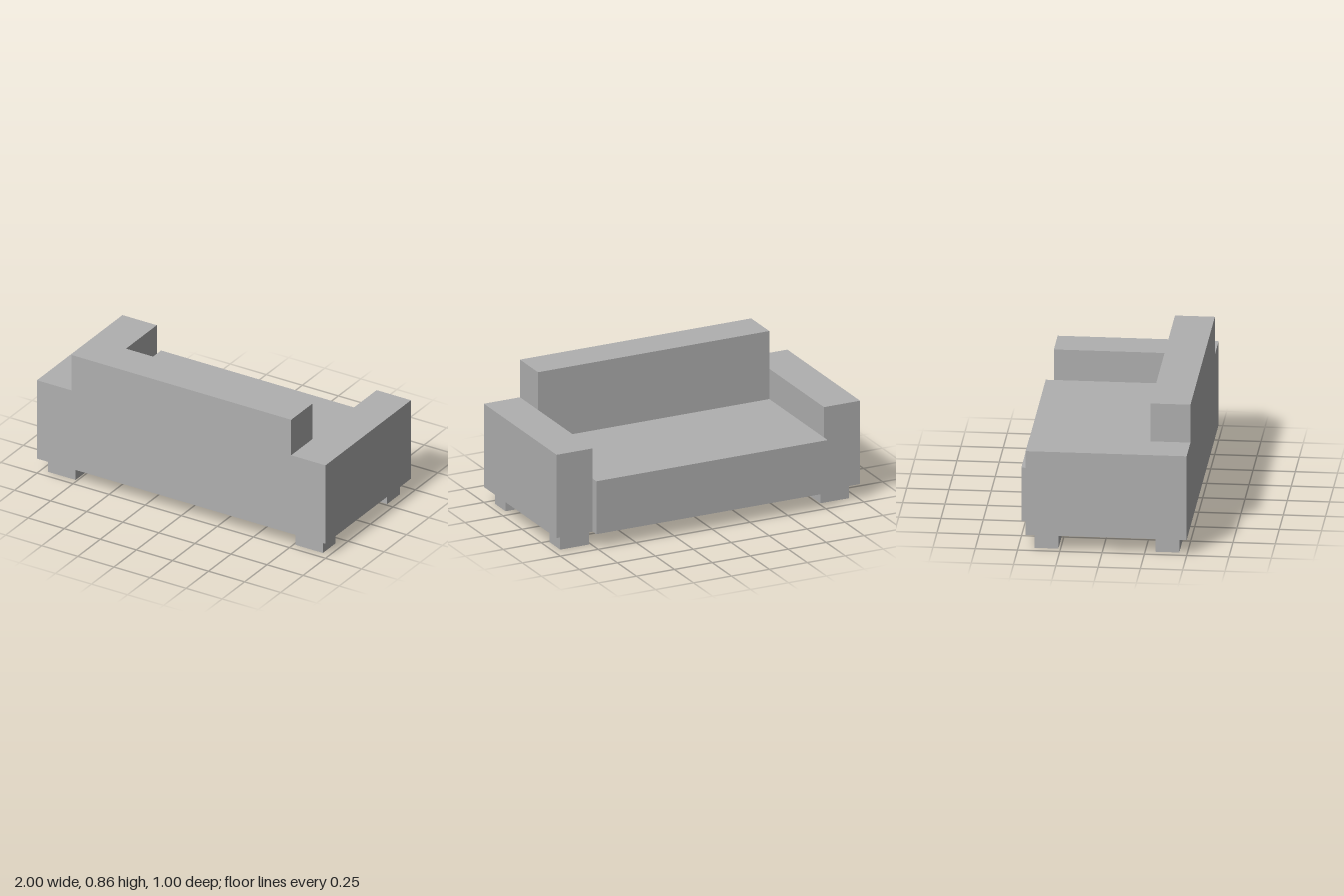
import * as THREE from 'three';

export function createModel() {
  const sofa = new THREE.Group();
  sofa.name = 'sofa';
  const grey = new THREE.MeshStandardMaterial({ color: 0xb0b0b0 });
  grey.name = 'plain grey';

  // Box given by its extents along each axis
  function block(name, [x0, x1], [y0, y1], [z0, z1]) {
    const mesh = new THREE.Mesh(new THREE.BoxGeometry(x1 - x0, y1 - y0, z1 - z0), grey);
    mesh.position.set((x0 + x1) / 2, (y0 + y1) / 2, (z0 + z1) / 2);
    mesh.name = name;
    sofa.add(mesh);
  }

  const inner = 0.762, floor = 0.097;

  // Backrest on the +z side, seat reaching past the arms on the -z side
  block('backrest', [-inner, inner], [floor, 0.858], [0.264, 0.5]);
  block('seat', [-inner, inner], [floor, 0.43], [-0.5, 0.264]);

  // Mirrored arms and legs
  for (const [side, s] of [['left', 1], ['right', -1]]) {
    const span = (a, b) => (s > 0 ? [a, b] : [-b, -a]);
    block(side + 'Arm', span(inner, 1), [floor, 0.621], [-0.452, 0.5]);
    block(side + 'BackrestLeg', span(inner, 0.952), [0, floor], [0.311, 0.452]);
    block(side + 'SeatLeg', span(inner, 0.952), [0, floor], [-0.404, -0.263]);
  }
  return sofa;
}
